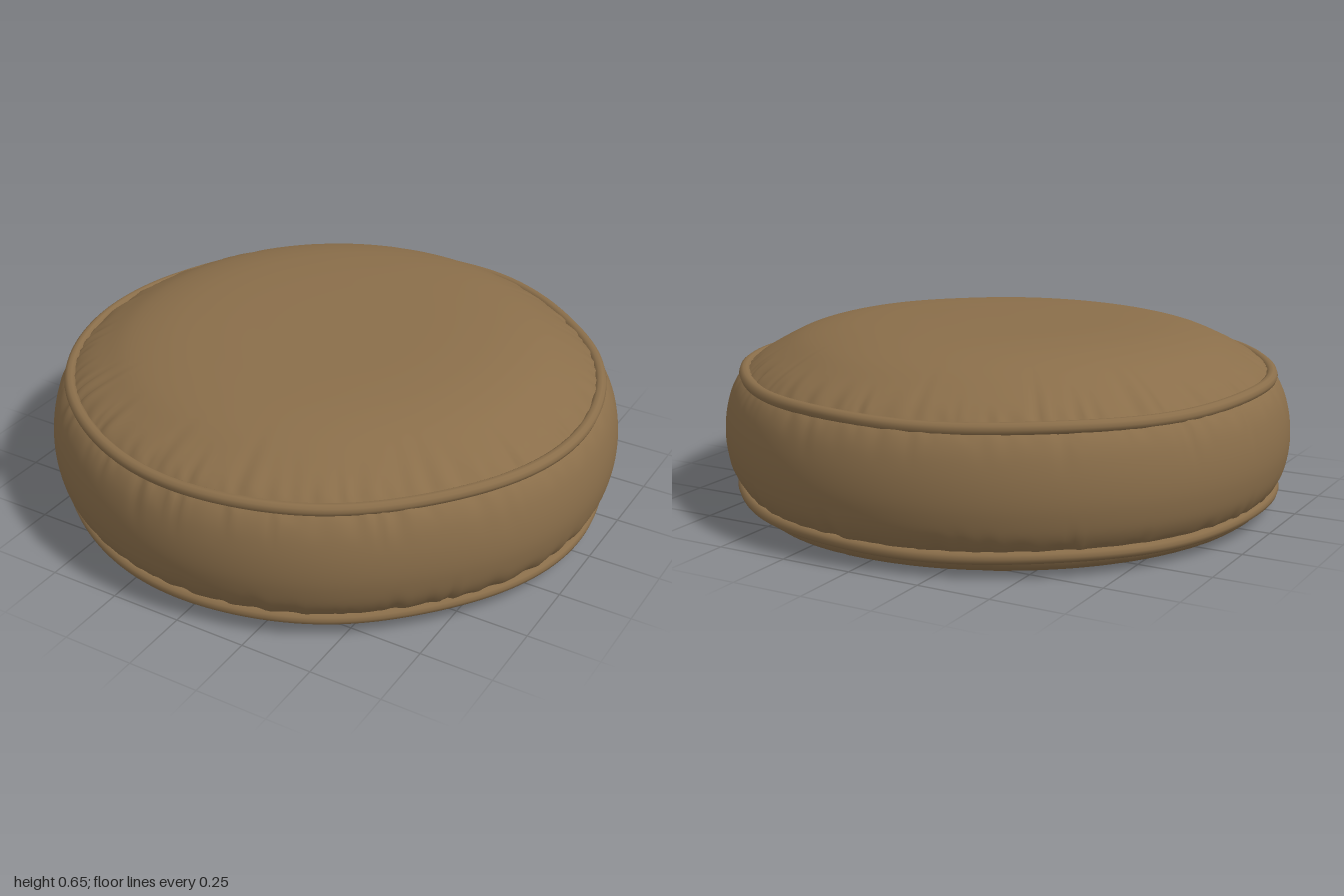
import * as THREE from 'three';
import { mergeVertices } from 'three/addons/utils/BufferGeometryUtils.js';

const SEGMENTS = 400;
const TOP_SEAM = { r: 0.926, y: 0.47 };
const BOTTOM_SEAM = { r: 0.944, y: 0.072 };

// small seeded generator
function seeded(seed) {
  return () => {
    seed = (seed * 16807) % 2147483647;
    return seed / 2147483647;
  };
}

const angleBetween = (a, b) => Math.atan2(Math.sin(a - b), Math.cos(a - b));
const bump = (d, width) => Math.exp(-((d / width) ** 2));

// gathered folds: each has an angle, width, length away from the seam and depth
function makeFolds(seed, count, minLength, maxLength, depth) {
  const rand = seeded(seed);
  return Array.from({ length: count }, (_, i) => ({
    angle: ((i + rand() * 0.9) / count) * Math.PI * 2,
    width: 0.012 + rand() * 0.02,
    length: minLength + (maxLength - minLength) * rand() ** 2,
    depth: depth * (0.3 + rand()),
    slant: (rand() - 0.5) * 0.25,
  }));
}

// depth of the folds at a given angle and distance from the seam
function foldDepth(folds, angle, distance) {
  let sum = 0;
  for (const f of folds) {
    if (distance > f.length) continue;
    const d = angleBetween(angle, f.angle + f.slant * distance);
    if (Math.abs(d) > 0.12) continue;
    const fade = (1 - distance / f.length) ** 2 * Math.min(1, 0.3 + distance / 0.03);
    sum += f.depth * fade * (bump(d, f.width) - 0.5 * bump(d - f.width * 1.8, f.width));
  }
  return sum;
}

// two soft flattened spots in the round outline
function outline(angle) {
  return 1 - 0.018 * bump(angleBetween(angle, 2.45), 0.3) - 0.018 * bump(angleBetween(angle, 0.8), 0.3);
}

// revolve a smooth profile (listed so that faces point outward), then displace it
function panel(points, rows, displace) {
  const curve = new THREE.CatmullRomCurve3(points.map(([r, y]) => new THREE.Vector3(r, y, 0)), false, 'centripetal');
  const profile = curve.getSpacedPoints(rows).map((p) => new THREE.Vector2(Math.max(0, p.x), p.y));
  let geometry = new THREE.LatheGeometry(profile, SEGMENTS);
  const pos = geometry.attributes.position;
  for (let i = 0; i < pos.count; i++) {
    const x = pos.getX(i), z = pos.getZ(i);
    const angle = Math.atan2(x, z);
    const [r, y] = displace(Math.hypot(x, z), pos.getY(i), angle, z);
    pos.setXYZ(i, r * outline(angle) * Math.sin(angle), y, r * outline(angle) * Math.cos(angle));
  }
  geometry.deleteAttribute('uv');
  geometry.deleteAttribute('normal');
  geometry = mergeVertices(geometry, 1e-5);
  geometry.computeVertexNormals();
  return geometry;
}

// slightly wavy cord following a seam
function piping(seam, tubeRadius) {
  const points = [];
  for (let i = 0; i < 96; i++) {
    const a = (i / 96) * Math.PI * 2;
    const r = (seam.r + 0.003 * Math.sin(5 * a + 1)) * outline(a);
    points.push(new THREE.Vector3(r * Math.sin(a), seam.y + 0.003 * Math.sin(7 * a), r * Math.cos(a)));
  }
  return new THREE.TubeGeometry(new THREE.CatmullRomCurve3(points, true), 240, tubeRadius, 10, true);
}

export function createModel() {
  const group = new THREE.Group();
  const leather = new THREE.MeshStandardMaterial({ color: 0x8a6e4a });
  leather.name = 'brown leather';

  const add = (name, geometry) => {
    const mesh = new THREE.Mesh(geometry, leather);
    mesh.name = name;
    group.add(mesh);
  };

  // domed top, gathered at the rim, a little higher toward the back
  const topFolds = makeFolds(71, 75, 0.06, 0.3, 0.012);
  add('topPanel', panel(
    [[0.93, 0.462], [0.905, 0.488], [0.87, 0.515], [0.81, 0.55], [0.72, 0.593], [0.6, 0.624], [0.45, 0.64], [0.25, 0.646], [0, 0.648]],
    60,
    (r, y, angle, z) => {
      const inner = Math.max(0, 1 - (r / 0.9) ** 2);
      return [r, y - foldDepth(topFolds, angle, Math.max(0, 0.92 - r)) - 0.028 * z * inner];
    },
  ));

  // bulging side band, gathered at both seams
  const upperFolds = makeFolds(913, 80, 0.05, 0.2, 0.009);
  const lowerFolds = makeFolds(4407, 80, 0.04, 0.16, 0.01);
  add('sideBand', panel(
    [[0.93, 0.072], [0.957, 0.1], [0.982, 0.145], [0.997, 0.21], [1, 0.27], [0.992, 0.34], [0.973, 0.405], [0.948, 0.448], [0.918, 0.475]],
    44,
    (r, y, angle) => [
      r - foldDepth(upperFolds, angle, Math.max(0, TOP_SEAM.y - y)) - foldDepth(lowerFolds, angle, Math.max(0, y - BOTTOM_SEAM.y)),
      y,
    ],
  ));

  // flat underside with a rounded rim
  const baseFolds = makeFolds(255, 50, 0.03, 0.1, 0.004);
  add('bottomPanel', panel(
    [[0, 0.008], [0.4, 0.007], [0.75, 0.004], [0.85, 0.005], [0.9, 0.016], [0.93, 0.04], [0.942, 0.075]],
    40,
    (r, y, angle) => [r, Math.max(0, y + foldDepth(baseFolds, angle, Math.max(0, 0.93 - r)))],
  ));

  // corded seams
  add('topPiping', piping(TOP_SEAM, 0.021));
  add('bottomPiping', piping(BOTTOM_SEAM, 0.021));

  return group;
}
